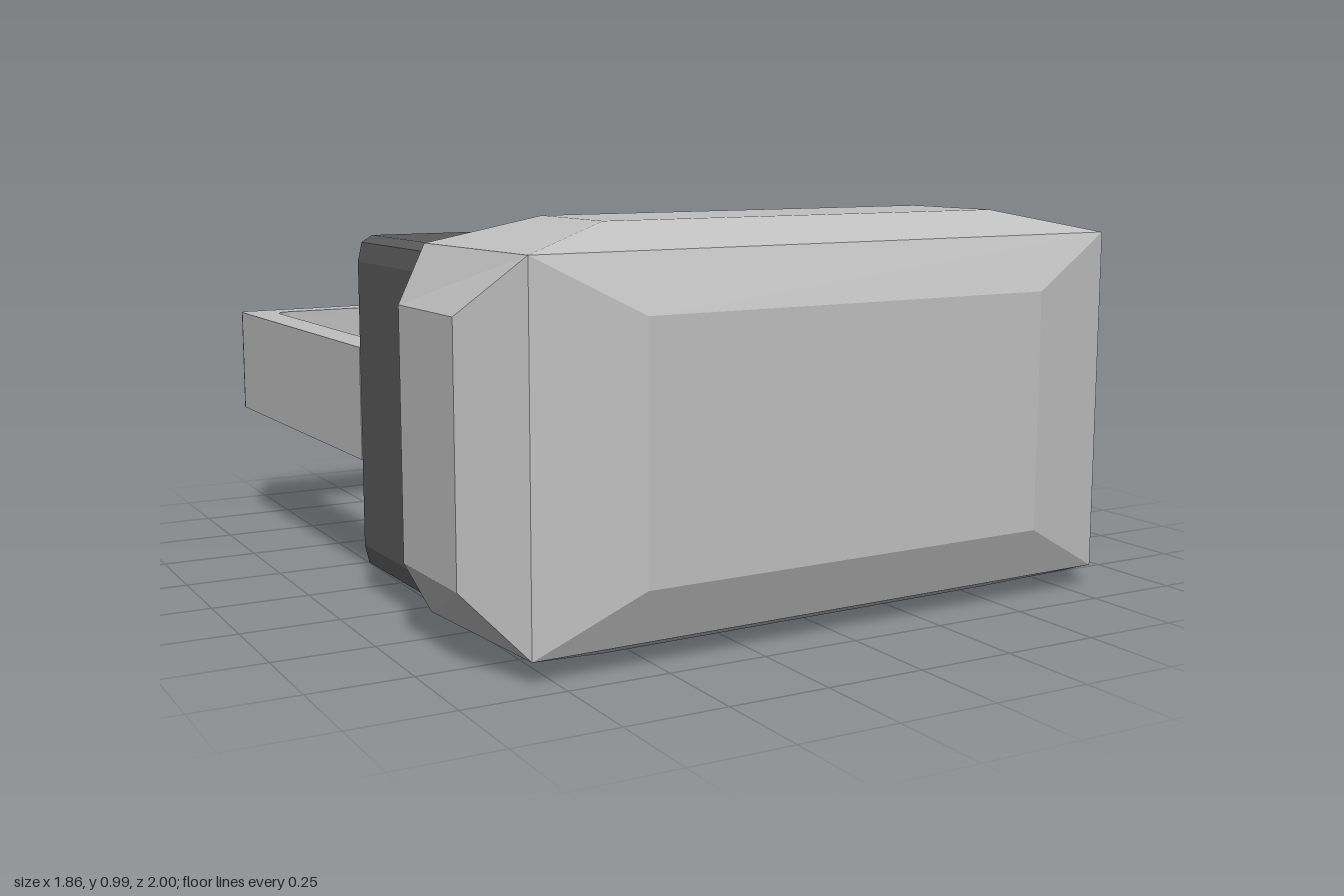
import * as THREE from 'three';

const shellMat = new THREE.MeshStandardMaterial({ color: 0xc0c0c0 });
shellMat.name = 'lightGrey';
const darkMat = new THREE.MeshStandardMaterial({ color: 0x5b5b5b });
darkMat.name = 'darkGrey';

const MID = 0.4925;  // height of the centre line
const REAR = 0.025;  // rear edge of the face cushion
const BACK = 0.455;  // back of the visor shell

function addMesh(parent, name, geometry, material) {
  const mesh = new THREE.Mesh(geometry, material);
  mesh.name = name;
  parent.add(mesh);
  return mesh;
}

// Faceted shell: each side of a tapered box rises to a smaller flat panel
function visorGeometry() {
  const pos = [];
  const quad = (a, b, c, d) => pos.push(...a, ...b, ...c, ...a, ...c, ...d);
  const corner = (s) => [s[0] * (s[2] > 0 ? 0.815 : 0.845), s[1] * 0.435, s[2] > 0 ? 0.925 : BACK];
  const panel = (s, axis) => {
    const p = [s[0] * 0.56, s[1] * 0.3, s[2] > 0 ? 0.785 : 0.487];
    p[axis] = [s[0] * 0.925, s[1] * MID, 0.982][axis];
    return p;
  };
  for (let axis = 0; axis < 3; axis++) {
    for (const sign of [-1, 1]) {
      const signs = [[-1, -1], [1, -1], [1, 1], [-1, 1]].map(([u, v]) => {
        const s = [0, 0, 0];
        s[axis] = sign;
        s[(axis + 1) % 3] = u;
        s[(axis + 2) % 3] = v;
        return s;
      });
      if (sign < 0) signs.reverse();
      const outer = signs.map(corner);
      if (axis === 2 && sign < 0) { quad(...outer); continue; } // flat back
      const inner = signs.map((s) => panel(s, axis));
      quad(...inner);
      for (let i = 0; i < 4; i++) {
        const j = (i + 1) % 4;
        quad(outer[i], outer[j], inner[j], inner[i]);
      }
    }
  }
  const geo = new THREE.BufferGeometry();
  geo.setAttribute('position', new THREE.Float32BufferAttribute(pos, 3));
  geo.computeVertexNormals();
  return geo;
}

// Box-like sleeve with faceted corners and a rectangular opening
function cushionGeometry() {
  const q = [[0.843, 0.365], [0.832, 0.413], [0.803, 0.43]];
  const flip = (sx, sy) => q.map(([x, y]) => new THREE.Vector2(x * sx, y * sy));
  const shape = new THREE.Shape([
    ...flip(1, 1), ...flip(-1, 1).reverse(), ...flip(-1, -1), ...flip(1, -1).reverse(),
  ]);
  const [w, h] = [0.757, 0.36];
  shape.holes.push(new THREE.Path([[-w, -h], [-w, h], [w, h], [w, -h]].map((p) => new THREE.Vector2(...p))));
  return new THREE.ExtrudeGeometry(shape, { depth: BACK - REAR, bevelEnabled: false });
}

// U-shaped band drawn in plan, then stood up
function strapGeometry() {
  const [w, t, rear] = [0.845, 0.086, 0.976];
  const [wi, ri] = [w - t, rear - 0.075];
  const [ro, rin] = [0.025, 0.045];
  const s = new THREE.Shape();
  s.moveTo(-w, -REAR);
  s.lineTo(-w, rear - ro);
  s.quadraticCurveTo(-w, rear, -w + ro, rear);
  s.lineTo(w - ro, rear);
  s.quadraticCurveTo(w, rear, w, rear - ro);
  s.lineTo(w, -REAR);
  s.lineTo(wi, -REAR);
  s.lineTo(wi, ri - rin);
  s.quadraticCurveTo(wi, ri, wi - rin, ri);
  s.lineTo(-wi + rin, ri);
  s.quadraticCurveTo(-wi, ri, -wi, ri - rin);
  s.lineTo(-wi, -REAR);
  const geo = new THREE.ExtrudeGeometry(s, { depth: 0.29, bevelEnabled: false, curveSegments: 3 });
  return geo.rotateX(-Math.PI / 2);
}

export function createModel() {
  const model = new THREE.Group();
  model.name = 'headset';

  // The whole headset is turned slightly about the vertical
  const turned = new THREE.Group();
  turned.name = 'headsetBody';
  turned.rotation.y = 0.0285;
  model.add(turned);

  const parts = new THREE.Group();
  parts.name = 'parts';
  parts.position.x = -0.021;
  turned.add(parts);

  addMesh(parts, 'visorShell', visorGeometry(), shellMat).position.y = MID;
  addMesh(parts, 'faceCushion', cushionGeometry(), darkMat).position.set(0, MID, REAR);

  // Recessed inner panel at the bottom of the cushion opening
  addMesh(parts, 'innerPanel', new THREE.BoxGeometry(1.54, 0.74, 0.19), darkMat).position.set(0, MID, 0.345);

  addMesh(parts, 'headStrap', strapGeometry(), shellMat).position.y = 0.35;

  return model;
}
